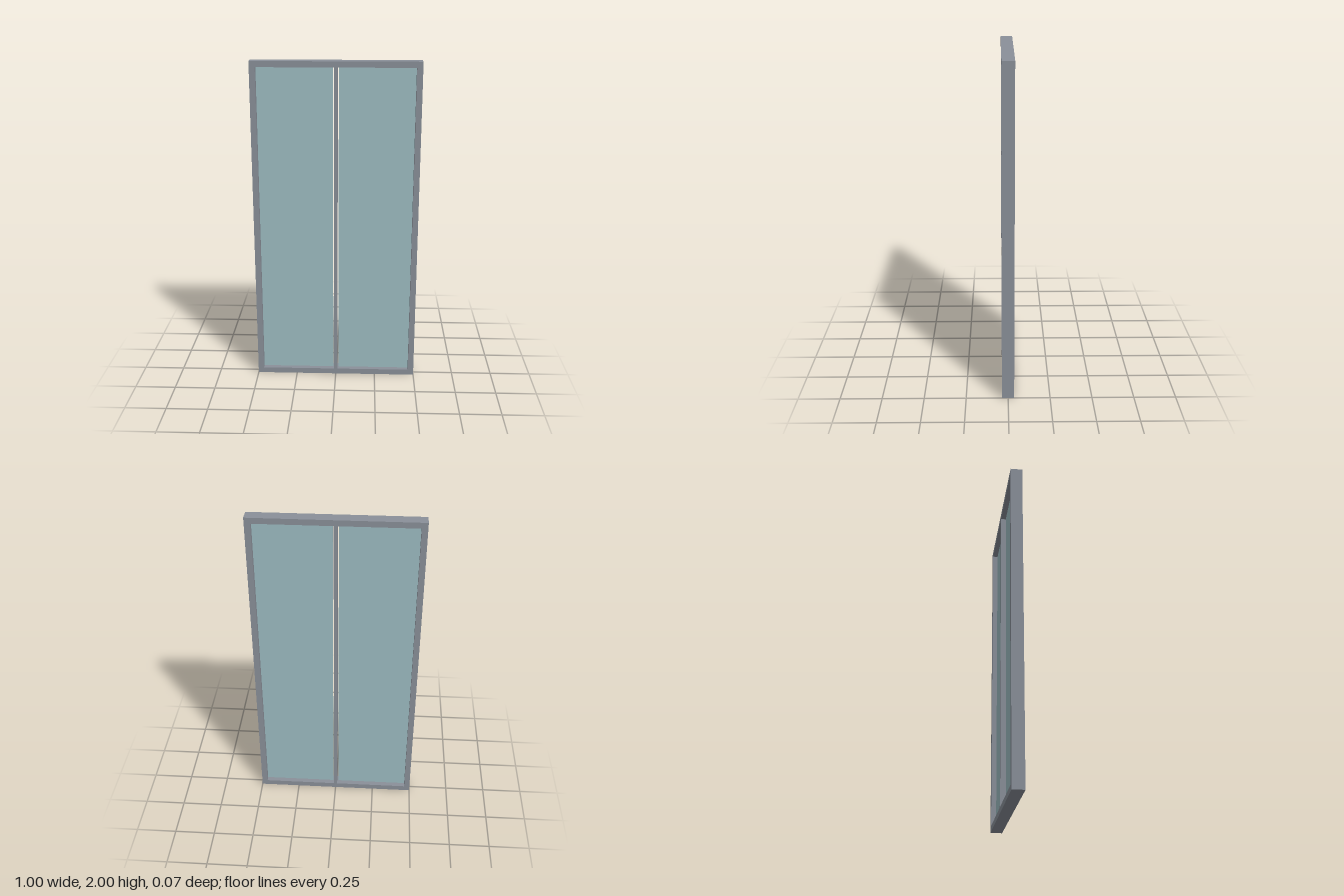
import * as THREE from 'three';

const W = 1, H = 2, D = 0.072; // overall size
const B = 0.035;               // frame border
const M = 0.02;                // mullion width
const GAP = 0.007;             // slit between mullion and glass

export function createModel() {
  const group = new THREE.Group();
  const metal = new THREE.MeshStandardMaterial({ color: 0x8a9099 });
  const glass = new THREE.MeshStandardMaterial({ color: 0x9dbcc2 });

  const add = (name, geometry, material, x = 0, y = 0, z = 0) => {
    const mesh = new THREE.Mesh(geometry, material);
    mesh.name = name;
    mesh.position.set(x, y, z);
    group.add(mesh);
  };

  // Outer frame: one rectangle with a rectangular opening
  const rect = (target, x0, y0, x1, y1) =>
    target.moveTo(x0, y0).lineTo(x1, y0).lineTo(x1, y1).lineTo(x0, y1).closePath();
  const outline = rect(new THREE.Shape(), -W / 2, 0, W / 2, H);
  outline.holes.push(rect(new THREE.Path(), -W / 2 + B, B, W / 2 - B, H - B));
  const frame = new THREE.ExtrudeGeometry(outline, { depth: D, bevelEnabled: false });
  add('frame', frame, metal, 0, 0, -D / 2);

  // Central upright
  const innerH = H - 2 * B;
  add('mullion', new THREE.BoxGeometry(M, innerH, D), metal, 0, H / 2);

  // Glass panes on either side of the mullion
  const inner = M / 2 + GAP, outer = W / 2 - B;
  for (const [side, name] of [[1, 'leftPane'], [-1, 'rightPane']]) {
    const pane = new THREE.BoxGeometry(outer - inner, innerH, 0.01);
    add(name, pane, glass, side * (inner + outer) / 2, H / 2);
  }
  return group;
}
